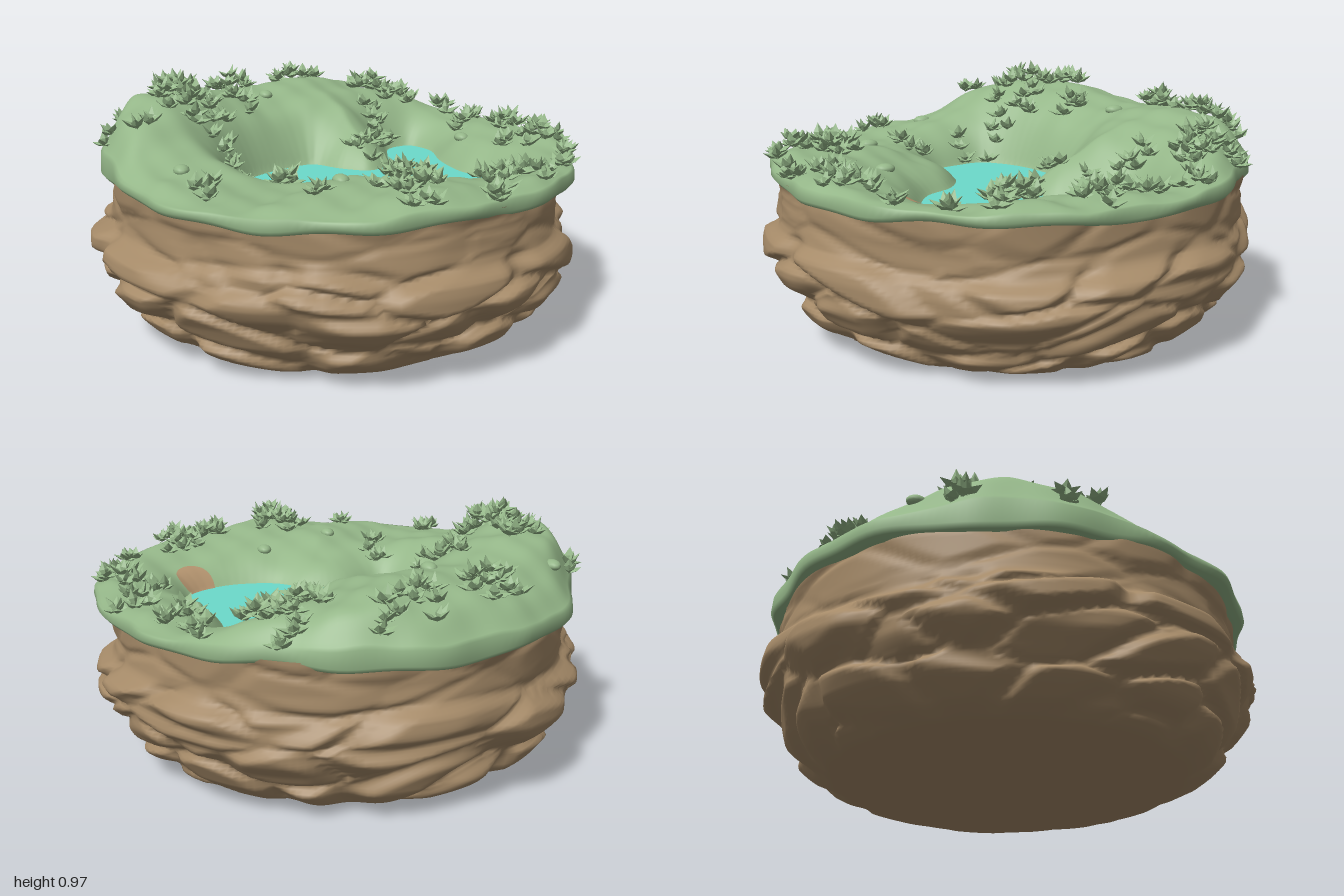
import * as THREE from 'three';
import { mergeGeometries } from 'three/addons/utils/BufferGeometryUtils.js';

const WATER_Y = 0.53;
const { smoothstep, clamp, lerp } = THREE.MathUtils;

// Seeded random and hash
let seed = 7;
const rand = () => ((seed = (seed * 16807) % 2147483647) / 2147483647);
const hash = (x, y, z, k) => {
  const s = Math.sin(x * 127.1 + y * 311.7 + z * 74.7 + k * 53.3) * 43758.5453;
  return s - Math.floor(s);
};

// Cellular noise: gap between the two nearest cells, and the nearest cell's value
function cells(x, y, z) {
  let f1 = 9, f2 = 9, value = 0;
  const X = Math.floor(x), Y = Math.floor(y), Z = Math.floor(z);
  for (let i = X - 1; i <= X + 1; i++)
    for (let j = Y - 1; j <= Y + 1; j++)
      for (let k = Z - 1; k <= Z + 1; k++) {
        const d = Math.hypot(i + hash(i, j, k, 1) - x, j + hash(i, j, k, 2) - y, k + hash(i, j, k, 3) - z);
        if (d < f1) { f2 = f1; f1 = d; value = hash(i, j, k, 4); } else if (d < f2) f2 = d;
      }
  return { gap: f2 - f1, value };
}

// Closed ring surface, rows running from the top centre outward and down
function ringSurface(rows, cols, point) {
  const pos = [], index = [];
  for (let i = 0; i <= rows; i++)
    for (let j = 0; j < cols; j++) pos.push(...point(i, (j / cols) * Math.PI * 2));
  for (let i = 0; i < rows; i++)
    for (let j = 0; j < cols; j++) {
      const k = (j + 1) % cols;
      const a = i * cols + j, b = i * cols + k, c = b + cols, d = a + cols;
      index.push(a, b, c, a, c, d);
    }
  const g = new THREE.BufferGeometry();
  g.setAttribute('position', new THREE.Float32BufferAttribute(pos, 3));
  g.setIndex(index);
  g.computeVertexNormals();
  return g;
}

// Pond outline (x, z)
const shore = new THREE.CatmullRomCurve3([
  [-0.43, 0.03], [-0.34, -0.1], [-0.18, -0.19], [-0.03, -0.22], [0.06, -0.11], [0.165, -0.04], [0.27, -0.1],
  [0.33, -0.24], [0.39, -0.36], [0.5, -0.385], [0.55, -0.27], [0.51, -0.08], [0.51, 0.11], [0.55, 0.23],
  [0.51, 0.35], [0.33, 0.41], [0.14, 0.36], [0.03, 0.25], [-0.13, 0.2], [-0.32, 0.25], [-0.4, 0.13],
].map(([x, z]) => new THREE.Vector3(x, 0, z)), true).getPoints(110);

// Distance to the shore, negative inside the pond
function shoreDistance(x, z) {
  let best = 9, inside = false;
  for (let i = 0; i < shore.length - 1; i++) {
    const a = shore[i], b = shore[i + 1], ex = b.x - a.x, ez = b.z - a.z;
    const t = clamp(((x - a.x) * ex + (z - a.z) * ez) / (ex * ex + ez * ez || 1), 0, 1);
    best = Math.min(best, Math.hypot(a.x + ex * t - x, a.z + ez * t - z));
    if ((a.z > z) !== (b.z > z) && x < a.x + (ex * (z - a.z)) / ez) inside = !inside;
  }
  return inside ? -best : best;
}

// Ground height: hills (x, z, height, spread) around a sunken pond
const hills = [[-0.62, -0.25, 0.23, 0.32], [0, -0.65, 0.13, 0.3], [0.4, -0.6, 0.08, 0.25],
  [0, 0.76, 0.05, 0.22], [0.45, 0.72, 0.02, 0.15], [0.82, 0.1, 0.02, 0.2], [-0.8, 0.42, -0.02, 0.18]];
const rimRadius = (a) => 0.945 + 0.012 * Math.sin(3 * a + 1) + 0.008 * Math.sin(8 * a) + 0.008 * Math.sin(17 * a + 2)
  - 0.008 * Math.cos(2 * a);
function ground(x, z) {
  const d = shoreDistance(x, z);
  if (d < 0) return WATER_Y + Math.max(d * 0.7, -0.012);
  let top = 0.655;
  for (const [hx, hz, h, s] of hills) top += h * Math.exp(-((x - hx) ** 2 + (z - hz) ** 2) / (2 * s * s));
  top += 0.008 * Math.sin(x * 13 + Math.sin(z * 9) * 2) + 0.008 * Math.sin(z * 15 + x * 6);
  top += 0.006 * Math.sin(x * 31 + z * 12) * Math.sin(z * 27 - x * 9);
  const y = WATER_Y + (top - WATER_Y) * (1 - Math.exp(-d / 0.11));
  const edge = Math.hypot(x, z) / rimRadius(Math.atan2(z, x));
  return lerp(y, 0.64 + 0.3 * Math.max(0, top - 0.66), smoothstep(edge, 0.86, 1.02) ** 2);
}

// Rock: stacked boulders around a bulging profile, radius by height
const rockProfile = [[0, 0.69], [0.03, 0.765], [0.1, 0.845], [0.2, 0.905], [0.25, 0.945], [0.3, 0.97],
  [0.36, 0.97], [0.4, 0.96], [0.43, 0.92], [0.5, 0.91], [0.64, 0.915]];
function profileAt(y) {
  const i = Math.max(1, rockProfile.findIndex((p) => p[0] >= y));
  const [a, b] = [rockProfile[i - 1], rockProfile[i]];
  return lerp(a[1], b[1], clamp((y - a[0]) / (b[0] - a[0]), 0, 1));
}
function rockPoint(i, a) {
  const y = Math.max(0, 0.63 * (1 - i / 56));
  const c = Math.cos(a), s = Math.sin(a);
  const warped = y + (0.02 * Math.sin(2 * a + 1) + 0.012 * Math.sin(5 * a)) * smoothstep(y, 0.05, 0.2);
  const n = cells(c * 2.1 + y + 20, warped * 7 + 0.3 * Math.sin(4 * a), s * 2.1 + 20);
  const upper = smoothstep(warped, 0.4, 0.46);
  const strength = lerp(1, 0.25, upper) * smoothstep(y, -0.04, 0.08);
  let r = profileAt(clamp(warped, 0, 0.63)) - 0.035 * strength;
  r += strength * (0.045 * smoothstep(n.gap, 0, 0.35) + 0.035 * n.value - 0.006);
  r += 0.006 * Math.sin(3 * a + y * 9) - 0.015 * upper * Math.cos(2 * a);
  r -= 0.025 * Math.exp(-(((a - 0.65) / 0.3) ** 2));
  r = Math.min(r, 1);
  if (i > 56) r *= 1 - (i - 56) / 4;
  return [r * c, y, r * s];
}

// Turf: height field out to the rim, then tucked under against the rock
const TURF_ROWS = 76;
function turfPoint(i, a) {
  const c = Math.cos(a), s = Math.sin(a), R = rimRadius(a);
  if (i > TURF_ROWS) {
    const k = i - TURF_ROWS;
    const r = R + [0, 0.004, -0.01, -0.05][k];
    const y = [0, 0.618, 0.6, 0.595][k] + 0.008 * Math.sin(5 * a) + 0.006 * Math.sin(13 * a + 1);
    return [r * c, y, r * s];
  }
  const r = (R * i) / TURF_ROWS;
  return [r * c, ground(r * c, r * s), r * s];
}

// Shrub: a clump of rosettes of broad pointed leaves
const leaf = new THREE.OctahedronGeometry(1).translate(0, 0.85, 0);
function shrub(cx, cz, size) {
  const parts = [], dummy = new THREE.Object3D();
  dummy.rotation.order = 'YXZ';
  const count = Math.max(2, Math.round(size * size * 550 + size * 24));
  for (let n = 0; n < count; n++) {
    const k = Math.sqrt((n + 0.2) / count), a = n * 2.4 + rand();
    const x = cx + Math.cos(a) * k * size * 0.85, z = cz + Math.sin(a) * k * size * 0.85;
    const far = Math.max(1, Math.hypot(x, z) / 0.92);
    const y = ground(x / far, z / far) + 0.3 * size * (1 - k * k) * (0.5 + rand());
    const turn = rand() * 6;
    for (let j = 0; j < 7; j++) {
      dummy.position.set(x / far, y, z / far);
      dummy.rotation.set(j === 6 ? 0.3 : 0.6 + rand() * 0.75, turn + (j / 6) * Math.PI * 2, 0);
      dummy.scale.set(0.02, 0.024 + rand() * 0.016, 0.009);
      dummy.updateMatrix();
      parts.push(leaf.clone().applyMatrix4(dummy.matrix));
    }
  }
  return mergeGeometries(parts);
}

// Shrub places: x, z, size
const shrubs = [
  [-0.26, -0.75, 0.12], [0.06, -0.82, 0.1], [0.2, -0.88, 0.07], [0.42, -0.66, 0.12], [0.52, -0.56, 0.1],
  [0.35, -0.42, 0.09], [0.17, -0.12, 0.08], [0.3, -0.25, 0.05], [-0.55, -0.2, 0.17], [-0.58, -0.43, 0.09],
  [-0.3, -0.36, 0.08], [-0.44, -0.05, 0.08], [-0.45, 0.12, 0.05], [-0.33, 0.29, 0.04], [0.68, -0.22, 0.06],
  [0.82, 0.2, 0.11], [0.85, -0.1, 0.09], [0.7, 0.12, 0.05], [0.84, 0.4, 0.04], [0.47, 0.69, 0.12],
  [0.32, 0.73, 0.09], [-0.03, 0.7, 0.13], [-0.05, 0.86, 0.11], [0.25, 0.87, 0.07], [-0.67, 0.47, 0.07],
  [-0.78, 0.02, 0.06], [-0.35, 0.39, 0.06], [-0.33, 0.68, 0.04], [0.73, -0.5, 0.07], [0.52, -0.76, 0.06],
  [-0.8, -0.5, 0.05], [-0.9, -0.15, 0.04], [0.78, -0.3, 0.05], [0.72, 0.55, 0.04]];

export function createModel() {
  const group = new THREE.Group();
  const material = (name, color) => {
    const m = new THREE.MeshStandardMaterial({ color });
    m.name = name;
    return m;
  };
  const rock = material('rock brown', 0xa58a68);
  const grass = material('grass green', 0x95b789);
  const water = material('water turquoise', 0x6cdacb);
  const sand = material('sand tan', 0xb4946f);
  const add = (name, geometry, mat) => {
    const mesh = new THREE.Mesh(geometry, mat);
    mesh.name = name;
    group.add(mesh);
    return mesh;
  };

  add('rockBase', ringSurface(60, 240, rockPoint), rock);
  add('turf', ringSurface(TURF_ROWS + 3, 200, turfPoint), grass);

  // Water sheet
  const outline = new THREE.Shape(shore.slice(0, -1).map((p) => new THREE.Vector2(p.x, -p.z)));
  add('pond', new THREE.ShapeGeometry(outline).rotateX(-Math.PI / 2).translate(0, WATER_Y + 0.003, 0), water);

  // Sandy patch lying on the bank
  add('sandPatch', ringSurface(10, 40, (i, a) => {
    const x = 0.47 + Math.cos(a) * 0.008 * i, z = 0.415 + Math.sin(a) * 0.008 * i;
    return [x, ground(x, z) + 0.006, z];
  }), sand);

  for (const [x, z, size] of shrubs) add('shrub', shrub(x, z, size), grass);

  // Small mossy lumps
  for (const [x, z] of [[-0.15, -0.5], [-0.62, -0.6], [-0.2, 0.55], [-0.7, 0.25], [0.12, 0.52], [0.62, -0.1]]) {
    const lump = add('mossLump', new THREE.SphereGeometry(0.03, 12, 8), grass);
    lump.position.set(x, ground(x, z), z);
    lump.scale.set(1, 0.7, 1.3);
  }
  return group;
}
